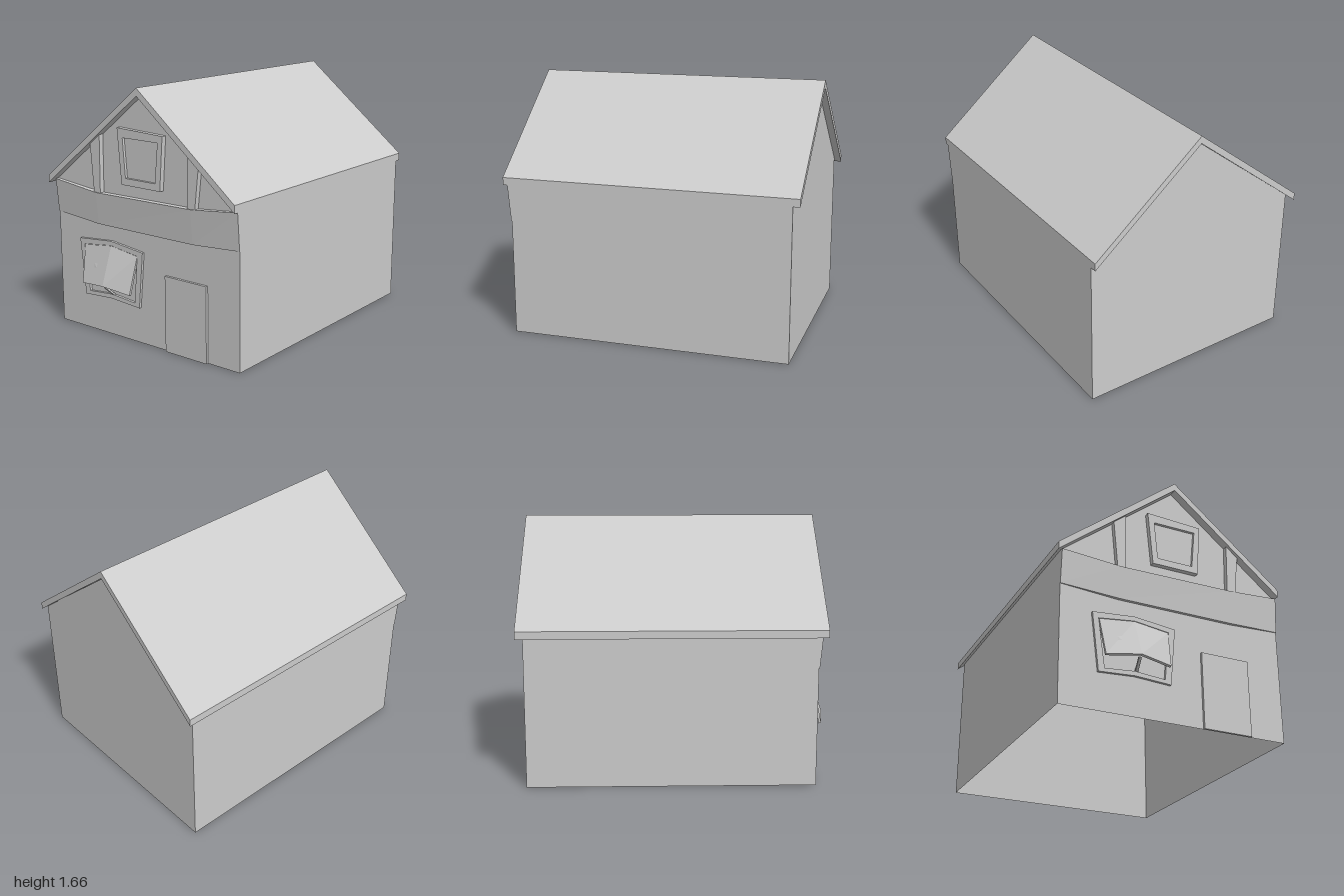
import * as THREE from 'three';

const mat = new THREE.MeshStandardMaterial({ color: 0xcccccc, flatShading: true, side: THREE.DoubleSide });
const FRONT = 0.895, BACK = -0.955, LEFT = -0.745, RIGHT = 0.775;

const toShape = (pts) => new THREE.Shape(pts.map(([x, y]) => new THREE.Vector2(x, y)));

function add(group, name, geometry) {
  const mesh = new THREE.Mesh(geometry, mat);
  mesh.name = name;
  group.add(mesh);
  return mesh;
}

// Flat outline (with optional hole) extruded from z0 to z1
function slab(group, name, pts, z0, z1, hole) {
  const shape = toShape(pts);
  if (hole) shape.holes.push(new THREE.Path(hole.map(([x, y]) => new THREE.Vector2(x, y))));
  const geo = new THREE.ExtrudeGeometry(shape, { depth: z1 - z0, bevelEnabled: false });
  return add(group, name, geo.translate(0, 0, z0));
}

// Skin through four-cornered sections running along x, capped at both ends;
// corners go back bottom, front bottom, front top, back top
function loft(group, name, sections) {
  const pos = sections.flat(2), index = [];
  const last = (sections.length - 1) * 4;
  for (let s = 0; s < last; s += 4) {
    for (let k = 0; k < 4; k++) {
      const a = s + k, b = s + (k + 1) % 4;
      index.push(a, a + 4, b + 4, a, b + 4, b);
    }
  }
  index.push(0, 1, 2, 0, 2, 3, last, last + 2, last + 1, last, last + 3, last + 2);
  const geo = new THREE.BufferGeometry();
  geo.setAttribute('position', new THREE.Float32BufferAttribute(pos, 3));
  geo.setIndex(index);
  geo.computeVertexNormals();
  return add(group, name, geo);
}

export function createModel() {
  const house = new THREE.Group();
  house.name = 'house';

  // Thin walls, open underneath
  const gable = [[LEFT, 0], [RIGHT, 0], [RIGHT, 1.0], [0.025, 1.613], [LEFT, 0.998]];
  add(house, 'frontWall', new THREE.ShapeGeometry(toShape(gable))).position.z = FRONT;
  const back = add(house, 'backWall', new THREE.ShapeGeometry(toShape(gable.map(([x, y]) => [-x, y]).reverse())));
  back.rotation.y = Math.PI;
  back.position.z = BACK;
  for (const [name, x, turn] of [['leftWall', RIGHT, 1], ['rightWall', LEFT, -1]]) {
    const wall = add(house, name, new THREE.PlaneGeometry(FRONT - BACK, 1));
    wall.rotation.y = turn * Math.PI / 2;
    wall.position.set(x, 0.5, (FRONT + BACK) / 2);
  }

  // Pitched roof with overhang at the gables
  slab(house, 'roof', [[-0.78, 0.97], [0.025, 1.615], [0.775, 1.0], [0.775, 1.05], [0.025, 1.665], [-0.78, 1.02]], -1, 0.95);

  // Sloping, slightly bulging beam across the front: x, bottom y, bottom z, top y, top z
  const beam = [
    [LEFT, 0.77, 0.9, 0.995, 0.92],
    [-0.36, 0.745, 0.915, 0.958, 0.935],
    [0.43, 0.745, 0.915, 0.968, 0.935],
    [RIGHT, 0.762, 0.9, 1.0, 0.92],
  ];
  loft(house, 'frontBeam', beam.map(([x, yb, zb, yt, zt]) =>
    [[x, yb, FRONT - 0.003], [x, yb, zb], [x, yt, zt], [x, yt, FRONT - 0.003]]));

  // Gable posts
  slab(house, 'gablePost', [[-0.38, 0.955], [-0.325, 0.955], [-0.32, 1.338], [-0.405, 1.27]], FRONT, 0.928);
  slab(house, 'gablePost', [[0.4, 0.965], [0.46, 0.965], [0.49, 1.233], [0.41, 1.3]], FRONT, 0.928);

  // Upper window: crooked frame around a pane
  const atticPane = [[-0.1, 1.085], [0.145, 1.085], [0.17, 1.34], [-0.12, 1.34]];
  slab(house, 'atticWindowFrame', [[-0.135, 1.04], [0.185, 1.04], [0.21, 1.385], [-0.165, 1.4]], FRONT, 0.928, atticPane);
  slab(house, 'atticWindowPane', atticPane, FRONT, 0.91);

  // Lower window frame
  slab(house, 'windowFrame',
    [[-0.5, 0.24], [-0.26, 0.255], [-0.02, 0.24], [0.015, 0.615], [-0.26, 0.645], [-0.54, 0.62]], FRONT, 0.912,
    [[-0.46, 0.268], [-0.26, 0.285], [-0.06, 0.268], [-0.03, 0.585], [-0.26, 0.615], [-0.5, 0.585]]);

  // Propped-open shutter hinged at the top: x top, y top, x bottom, y bottom, z bottom
  const shutter = [
    [-0.495, 0.583, -0.475, 0.335, 0.965],
    [-0.26, 0.613, -0.26, 0.36, 1.0],
    [-0.032, 0.583, -0.05, 0.335, 0.972],
  ];
  loft(house, 'shutter', shutter.map(([xt, yt, xb, yb, zb]) =>
    [[xb, yb - 0.005, zb - 0.016], [xb, yb, zb], [xt, yt, 0.91], [xt, yt - 0.005, 0.897]]));

  // Prop stick holding the shutter
  const foot = new THREE.Vector3(-0.25, 0.28, 0.9), tip = new THREE.Vector3(-0.26, 0.35, 0.975);
  const stick = add(house, 'shutterProp', new THREE.BoxGeometry(0.018, foot.distanceTo(tip), 0.012));
  stick.position.lerpVectors(foot, tip, 0.5);
  stick.quaternion.setFromUnitVectors(new THREE.Vector3(0, 1, 0), tip.clone().sub(foot).normalize());

  // Door
  slab(house, 'door', [[0.2, 0], [0.53, 0], [0.53, 0.5], [0.2, 0.5]], FRONT, 0.912);

  return house;
}
